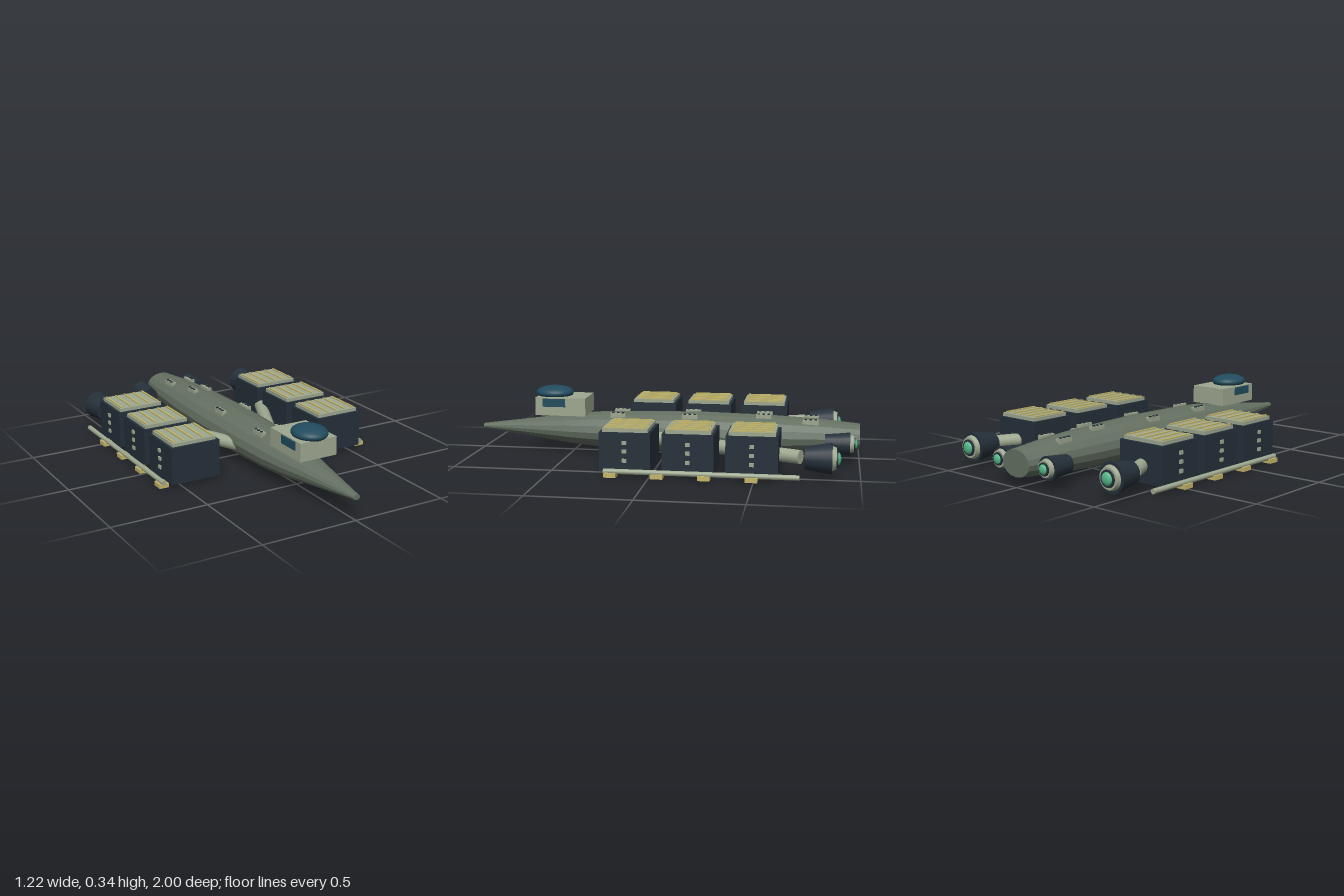
import * as THREE from 'three';
import { toCreasedNormals } from 'three/addons/utils/BufferGeometryUtils.js';

const paint = (name, color) => {
  const m = new THREE.MeshStandardMaterial({ color });
  m.name = name;
  return m;
};

export function createModel() {
  const hullGreen = paint('hull green', 0x647062);
  const sage = paint('pale sage', 0x9ea890);
  const navy = paint('dark navy', 0x25303a);
  const glass = paint('teal glass', 0x214c5e);
  const glow = paint('engine glow', 0x55b888);
  const brass = paint('brass yellow', 0xc4b66a);

  const model = new THREE.Group();
  model.name = 'cargoShip';

  const add = (parent, name, geometry, material, x = 0, y = 0, z = 0) => {
    const mesh = new THREE.Mesh(geometry, material);
    mesh.name = name;
    mesh.position.set(x, y, z);
    parent.add(mesh);
    return mesh;
  };
  const box = (parent, name, mat, w, h, d, x, y, z) =>
    add(parent, name, new THREE.BoxGeometry(w, h, d), mat, x, y, z);
  const group = (name, x, y, z) => {
    const g = new THREE.Group();
    g.name = name;
    g.position.set(x, y, z);
    model.add(g);
    return g;
  };

  // Hull: flattened spindle, blunt at the stern and tapering to the nose
  const hullY = 0.115, flatten = 0.74;
  const profile = [
    [0, -1], [0.09, -1], [0.115, -0.8], [0.133, -0.55], [0.143, -0.2],
    [0.138, 0.1], [0.127, 0.35], [0.106, 0.52], [0.072, 0.7], [0.018, 1], [0, 1],
  ].map(([r, z]) => new THREE.Vector2(r, z));
  const hull = new THREE.LatheGeometry(profile, 16);
  hull.rotateX(Math.PI / 2);
  hull.scale(1, flatten, 1);
  add(model, 'hull', toCreasedNormals(hull, 0.25), hullGreen, 0, hullY, 0);

  // Cabin with side windows and a domed canopy
  box(model, 'cabin', sage, 0.206, 0.094, 0.268, 0, 0.245, 0.552);
  add(model, 'canopyDome', new THREE.SphereGeometry(1, 32, 20), glass, 0, 0.307, 0.605)
    .scale.set(0.087, 0.037, 0.1);

  // Engine: flared shell, nozzle ring, dark throat and glowing core, firing to -z
  const engine = (name, x, y, z, front, back, length) => {
    const g = group(name, x, y, z);
    const stage = (part, mat, r0, r1, z0, z1) => {
      const geo = new THREE.CylinderGeometry(r1, r0, z0 - z1, 20);
      geo.rotateX(-Math.PI / 2);
      add(g, part, geo, mat, 0, 0, (z0 + z1) / 2);
    };
    stage('engineShell', navy, front, back, 0, -length);
    stage('nozzleRing', sage, back * 0.8, back * 0.7, -length, -length - 0.02);
    stage('nozzleThroat', navy, back * 0.56, back * 0.54, -length - 0.02, -length - 0.027);
    const core = add(g, 'engineCore', new THREE.SphereGeometry(back * 0.42, 16, 12), glow,
      0, 0, -length - 0.026);
    core.scale.z = 0.5;
  };

  // Cargo container: crate, lid, lid ribs and outer marker studs
  const container = (side, z) => {
    const g = group('cargoContainer', side * 0.426, 0, z);
    box(g, 'crate', navy, 0.266, 0.19, 0.25, 0, 0.115, 0);
    box(g, 'lid', sage, 0.238, 0.018, 0.222, 0, 0.219, 0);
    for (let i = -2; i <= 2; i++)
      box(g, 'lidRib', brass, 0.009, 0.007, 0.2, i * 0.053, 0.2315, 0);
    for (const y of [0.075, 0.12, 0.163])
      box(g, 'markerStud', sage, 0.008, 0.018, 0.022, side * 0.137, y, 0);
  };

  // Deck hatch placed on the curved hull top, with a row of bolts
  const hatch = (x, z, r) => {
    const y = hullY + flatten * Math.sqrt(r * r - x * x);
    const g = group('deckHatch', x, y, z);
    box(g, 'hatchPlate', sage, 0.028, 0.03, 0.08, 0, 0, 0);
    for (const dz of [-0.026, 0, 0.026])
      box(g, 'hatchBolt', navy, 0.012, 0.006, 0.012, Math.sign(x) * 0.005, 0.017, dz);
  };

  for (const side of [-1, 1]) {
    box(model, 'cabinWindow', glass, 0.008, 0.042, 0.12, side * 0.105, 0.266, 0.585);

    // Swept outrigger strut from hull to outer engine
    const start = new THREE.Vector3(side * 0.08, 0.102, 0.16);
    const end = new THREE.Vector3(side * 0.475, 0.102, -0.715);
    const along = end.clone().sub(start);
    const strut = add(model, 'outriggerStrut',
      new THREE.CylinderGeometry(0.034, 0.034, along.length(), 16), sage);
    strut.position.copy(start).add(end).multiplyScalar(0.5);
    strut.quaternion.setFromUnitVectors(new THREE.Vector3(0, 1, 0), along.normalize());

    engine('outerEngine', side * 0.475, 0.1, -0.735, 0.056, 0.075, 0.13);
    engine('innerEngine', side * 0.157, 0.107, -0.825, 0.045, 0.058, 0.125);

    for (const z of [-0.488, -0.183, 0.123]) container(side, z);

    // Loading rail with brass clamps
    const rail = new THREE.CylinderGeometry(0.013, 0.013, 0.935, 12);
    rail.rotateX(Math.PI / 2);
    add(model, 'loadingRail', rail, sage, side * 0.588, 0.027, -0.247);
    for (const z of [0.187, -0.04, -0.265, -0.49])
      box(model, 'railClamp', brass, 0.05, 0.022, 0.06, side * 0.587, 0.011, z);

    hatch(side * 0.06, -0.75, 0.118);
    hatch(side * 0.042, -0.51, 0.134);
    hatch(side * 0.075, -0.13, 0.141);
    hatch(side * 0.063, 0.25, 0.131);
  }
  return model;
}
